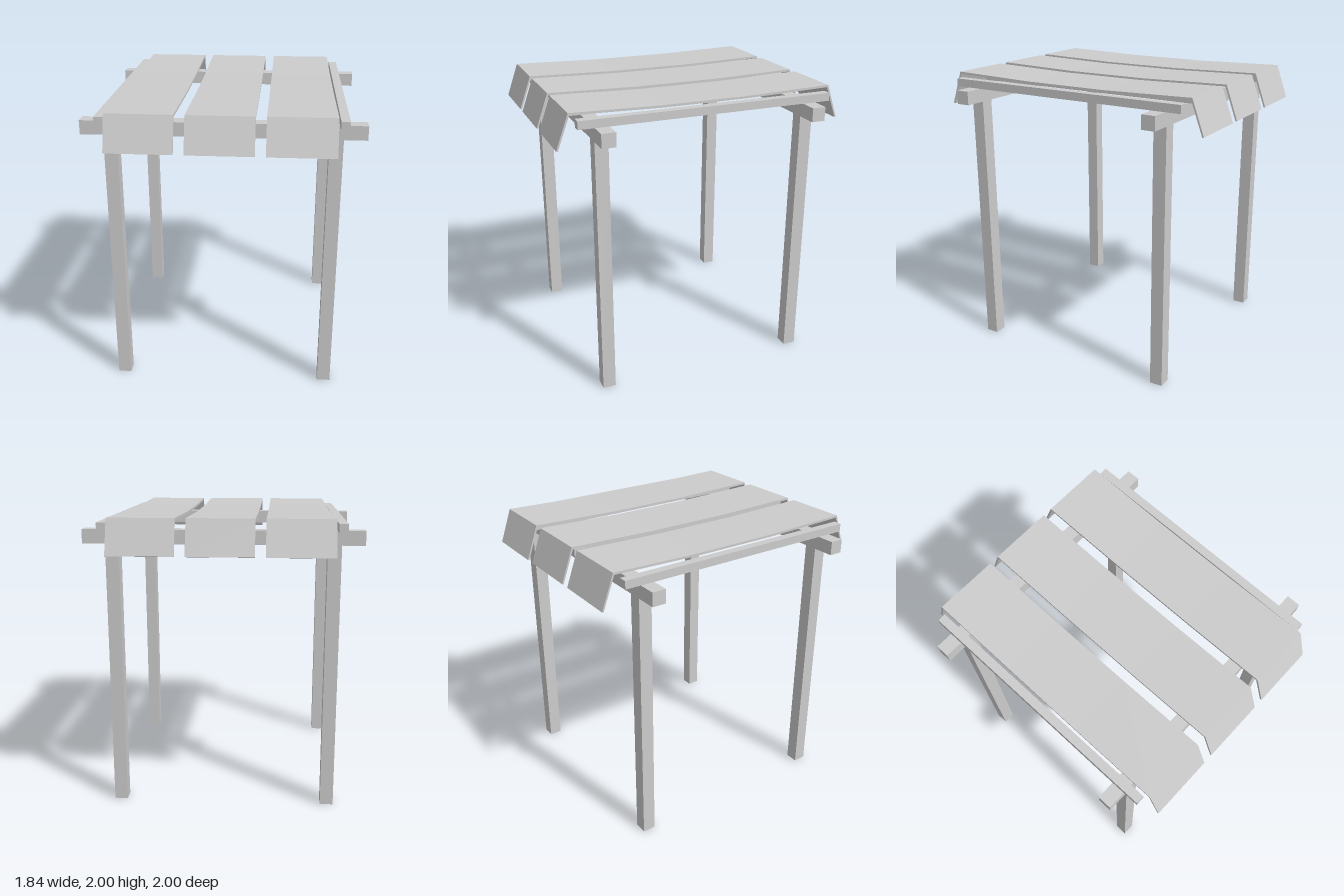
import * as THREE from 'three';

export function createModel() {
  const group = new THREE.Group();
  group.name = 'pergola';
  const grey = new THREE.MeshStandardMaterial({ color: 0xcccccc });
  grey.name = 'pale grey';

  const add = (name, geometry, x, y, z) => {
    const mesh = new THREE.Mesh(geometry, grey);
    mesh.name = name;
    mesh.position.set(x, y, z);
    group.add(mesh);
  };

  // Four posts, and a cross beam over each pair
  const post = new THREE.BoxGeometry(0.09, 1.82, 0.09);
  const beam = new THREE.BoxGeometry(1.844, 0.094, 0.094);
  for (const z of [-0.726, 0.726]) {
    for (const x of [-0.726, 0.726]) add('post', post, x, 0.91, z);
    add('beam', beam, 0, 1.864, z);
  }

  // Six evenly spaced rafters on top of the beams
  const rafter = new THREE.BoxGeometry(0.058, 0.055, 1.76);
  for (let i = 0; i < 6; i++) add('rafter', rafter, -0.77 + i * 0.308, 1.9385, 0);

  // Canopy strip profile (z, y): slight sag, with a flap hanging at each end
  const top = [[1, 1.768], [0.916, 2], [0.3, 1.985]];
  const under = [[0.3, 1.969], [0.908, 1.985], [0.989, 1.765]];
  const mirror = (points) => points.map(([z, y]) => [-z, y]).reverse();
  const outline = [...top, ...mirror(top), ...mirror(under), ...under];
  const shape = new THREE.Shape(outline.map(([z, y]) => new THREE.Vector2(z, y)));
  const width = 0.438;
  const strip = new THREE.ExtrudeGeometry(shape, { depth: width, bevelEnabled: false });
  strip.translate(0, 0, -width / 2).rotateY(-Math.PI / 2);
  for (const x of [-0.506, 0, 0.506]) add('canopyStrip', strip, x, 0, 0);

  return group;
}
